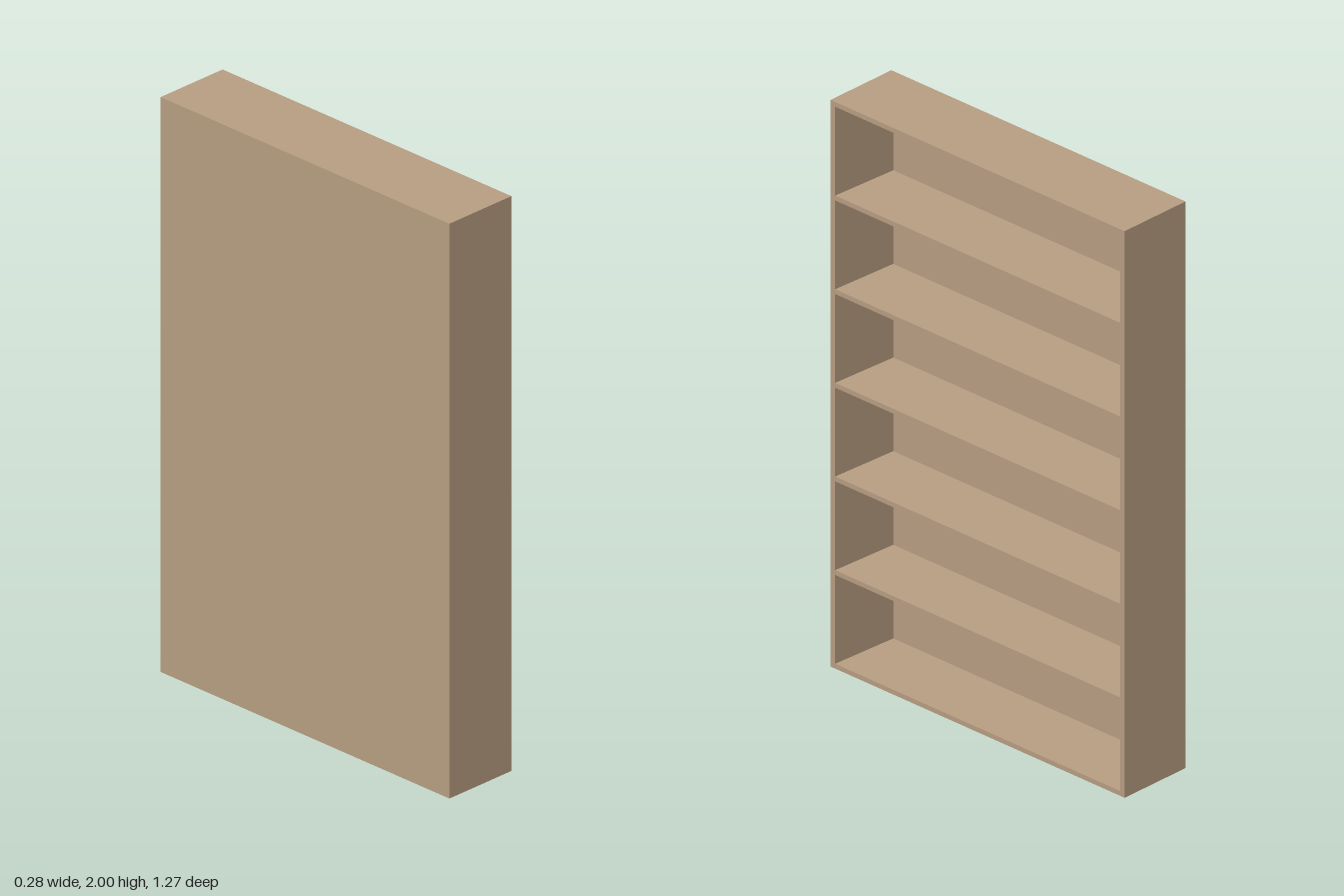
import * as THREE from 'three';

const H = 2, W = 1.27, D = 0.275;   // height, width along z, depth along x
const BOARD = 0.017, BACK = 0.027;  // shelf and back panel thickness
const SIDE_FRONT = 0.02, SIDE_BACK = 0.034;
const SHELVES = 7;

export function createModel() {
  const group = new THREE.Group();
  group.name = 'bookcase';
  const wood = new THREE.MeshStandardMaterial({ color: 0xb59c80, flatShading: true });

  const add = (name, geometry, x, y, z) => {
    const mesh = new THREE.Mesh(geometry, wood);
    mesh.name = name;
    mesh.position.set(x, y, z);
    group.add(mesh);
  };

  // Closed back, on the -x side
  add('backPanel', new THREE.BoxGeometry(BACK, H, W), -D / 2 + BACK / 2, H / 2, 0);

  // Side panels, slightly thinner towards the open +x side
  for (const s of [1, -1]) {
    const plan = new THREE.Shape([
      [-D / 2 + BACK, W / 2], [D / 2, W / 2],
      [D / 2, W / 2 - SIDE_FRONT], [-D / 2 + BACK, W / 2 - SIDE_BACK],
    ].map(([x, z]) => new THREE.Vector2(x, -z * s)));
    const side = new THREE.ExtrudeGeometry(plan, { depth: H, bevelEnabled: false });
    side.rotateX(-Math.PI / 2);
    add(s > 0 ? 'frontSide' : 'rearSide', side, 0, 0, 0);
  }

  // Evenly spaced boards: bottom, five shelves and top
  const depth = D - BACK, pitch = (H - BOARD) / (SHELVES - 1);
  for (let i = 0; i < SHELVES; i++) {
    const name = i === 0 ? 'bottomBoard' : i === SHELVES - 1 ? 'topBoard' : 'shelf' + i;
    add(name, new THREE.BoxGeometry(depth, BOARD, W - 2 * SIDE_FRONT),
      D / 2 - depth / 2, BOARD / 2 + i * pitch, 0);
  }
  return group;
}
